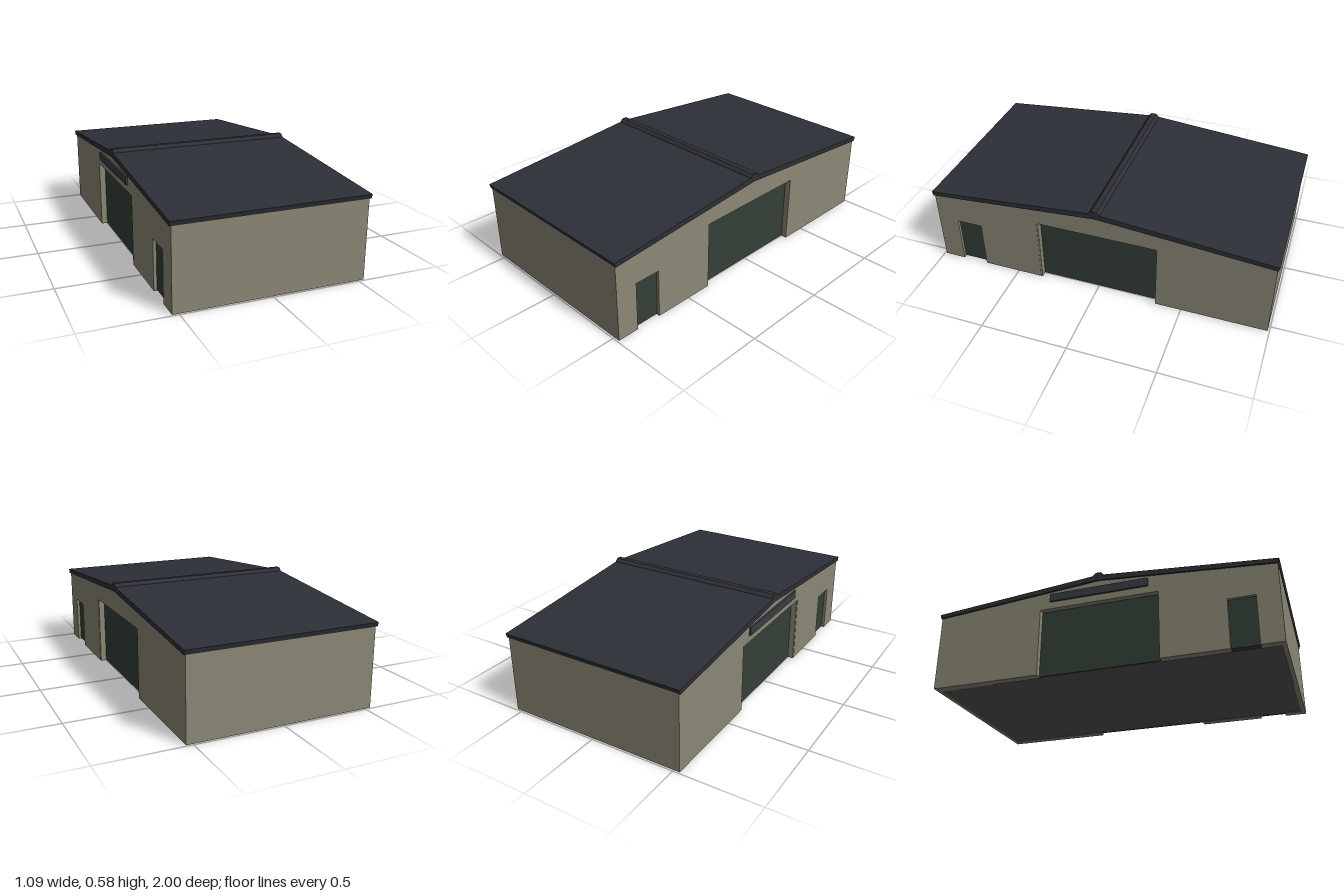
import * as THREE from 'three';

const mat = (color) => new THREE.MeshStandardMaterial({ color, flatShading: true });

// Extrude a (z, y) outline along x, between x0 and x1
function alongX(points, x0, x1) {
  const shape = new THREE.Shape(points.map(([z, y]) => new THREE.Vector2(z, y)));
  const geo = new THREE.ExtrudeGeometry(shape, { depth: x1 - x0, bevelEnabled: false });
  return geo.rotateY(-Math.PI / 2).translate(x1, 0, 0);
}

export function createModel() {
  const model = new THREE.Group();
  model.name = 'shed';
  const wall = mat(0x8c8876), roof = mat(0x2d3037), door = mat(0x343f37);
  const floorMat = mat(0x555657), signMat = mat(0x3a3d42);

  const add = (name, geo, material) => {
    const mesh = new THREE.Mesh(geo, material);
    mesh.name = name;
    model.add(mesh);
    return mesh;
  };
  const box = (name, material, x0, x1, y0, y1, z0, z1) =>
    add(name, new THREE.BoxGeometry(x1 - x0, y1 - y0, z1 - z0)
      .translate((x0 + x1) / 2, (y0 + y1) / 2, (z0 + z1) / 2), material);

  const W = 0.535, L = 0.99, T = 0.05;   // half width, half length, gable wall thickness

  // Gable outline with notches for the vehicle door and the side door
  const gable = [
    [-L, 0], [-0.35, 0], [-0.35, 0.4], [0.355, 0.4], [0.355, 0], [0.715, 0],
    [0.715, 0.285], [0.865, 0.285], [0.865, 0], [L, 0], [L, 0.452], [0, 0.532], [-L, 0.452],
  ];
  for (const s of [1, -1]) {
    const side = s > 0 ? 'left' : 'right';
    const span = (a, b) => (s > 0 ? [a, b] : [-b, -a]);
    add(side + 'GableWall', alongX(gable, ...span(W - T, W)), wall);
    // Recessed doors with a slim post beside the large one
    box(side + 'VehicleDoor', door, ...span(W - T, W - 0.035), 0.002, 0.4, -0.35, 0.355);
    box(side + 'DoorPost', wall, ...span(W - 0.035, W - 0.002), 0, 0.4, 0.345, 0.355);
    box(side + 'EntryDoor', door, ...span(W - T, W - 0.017), 0.006, 0.285, 0.715, 0.865);
    // Long wall under the eave
    box(s > 0 ? 'frontWall' : 'backWall', wall, -W + T, W - T, 0, 0.452,
      s > 0 ? L - 0.025 : -L, s > 0 ? L : -L + 0.025);
  }

  // Floor slab
  box('floor', floorMat, -W + T, W - T, 0.003, 0.015, -L + 0.025, L - 0.025);

  // Pitched roof with squared eaves
  add('roof', alongX([
    [-0.993, 0.449], [0, 0.529], [0.993, 0.449], [1, 0.474], [0, 0.562], [-1, 0.474],
  ], -0.545, 0.545), roof);

  // Ridge cap
  add('ridgeCap', alongX([
    [-0.034, 0.555], [0.034, 0.555], [0.03, 0.564], [0.015, 0.578], [-0.015, 0.578], [-0.03, 0.564],
  ], -0.545, 0.545), roof);

  // Blank sign board above the vehicle door
  box('signBoard', signMat, -0.546, -W, 0.442, 0.49, -0.29, 0.29);

  return model;
}
